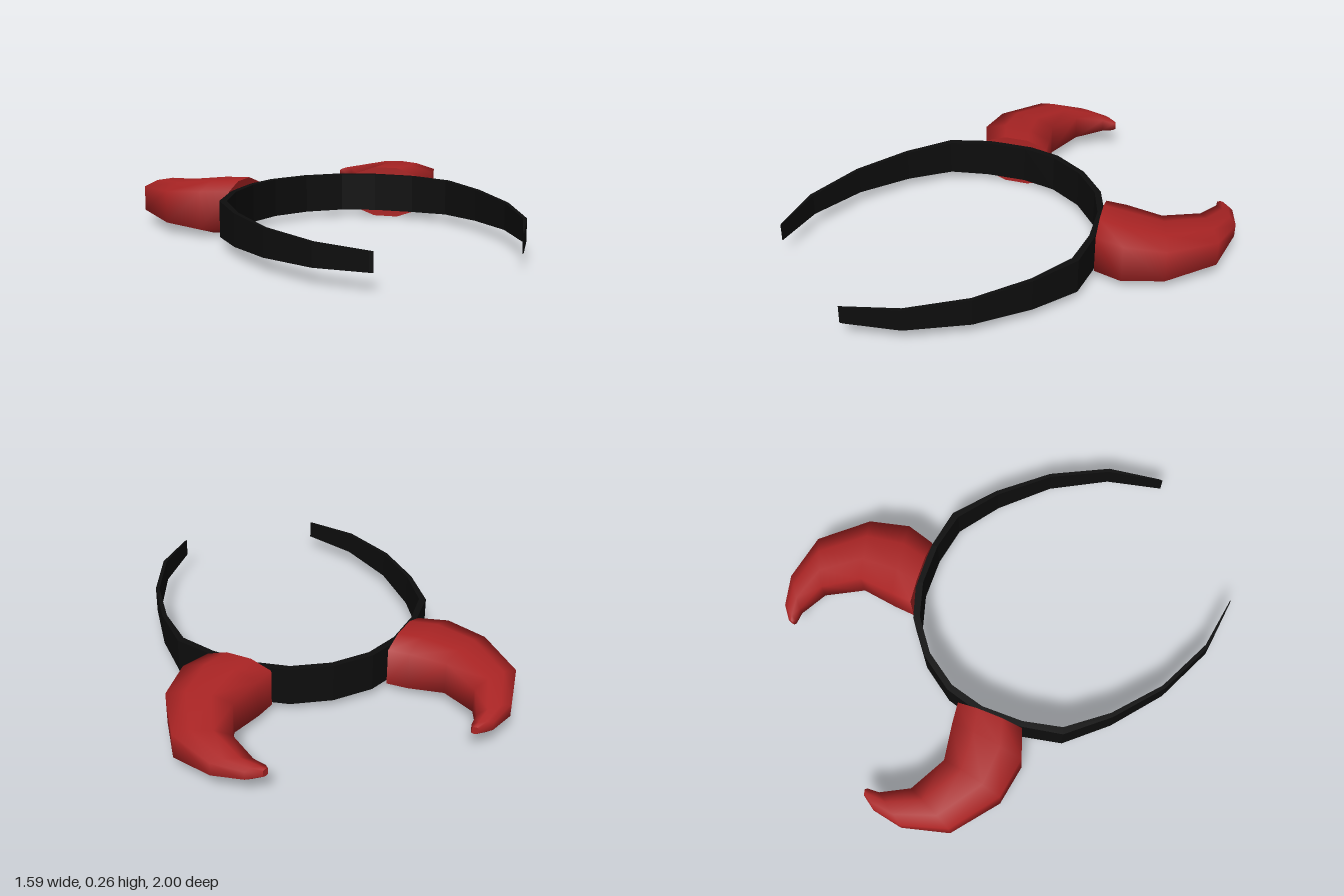
import * as THREE from 'three';

const MID_Y = 0.13;

// Skin a list of equal-sized rings of Vector3 and cap both ends.
function loft(rings, flip = false) {
  const n = rings[0].length, last = rings.length - 1;
  const points = rings.flat(), index = [];
  const tri = (a, b, c) => (flip ? index.push(a, c, b) : index.push(a, b, c));
  for (let s = 0; s < last; s++) {
    for (let i = 0; i < n; i++) {
      const a = s * n + i, b = s * n + (i + 1) % n;
      tri(a, a + n, b);
      tri(b, a + n, b + n);
    }
  }
  // Caps have their own vertices so their edges stay sharp
  for (const s of [0, last]) {
    const start = points.length;
    points.push(...rings[s]);
    for (let i = 1; i < n - 1; i++) {
      if (s === 0) tri(start, start + i, start + i + 1);
      else tri(start, start + i + 1, start + i);
    }
  }
  const geometry = new THREE.BufferGeometry().setFromPoints(points);
  geometry.setIndex(index);
  geometry.computeVertexNormals();
  return geometry;
}

// Ring spanning an inner and an outer point in plan, with a given half height.
function ring(profile, side, [ox, oz, ix, iz, half]) {
  return profile.map(([u, v]) => new THREE.Vector3(
    side * ((ox + ix) / 2 + u * (ox - ix) / 2),
    MID_Y + v * half,
    (oz + iz) / 2 + u * (oz - iz) / 2));
}

const RECTANGLE = [[1, -1], [1, 1], [-1, 1], [-1, -1]];
const ROUNDED = [[1, -0.72], [1, 0.72], [0.38, 1], [-0.38, 1],
  [-1, 0.72], [-1, -0.72], [-0.38, -1], [0.38, -1]];

// Sections: outer x, outer z, inner x, inner z, half height
const BAND = [
  [0.372, 0.985, 0.358, 0.997, 0.045],
  [0.53, 0.78, 0.515, 0.77, 0.054],
  [0.627, 0.49, 0.61, 0.485, 0.066],
  [0.65, 0.2, 0.628, 0.2, 0.078],
  [0.627, -0.05, 0.596, -0.035, 0.087],
  [0.51, -0.215, 0.49, -0.195, 0.094],
  [0.36, -0.365, 0.345, -0.335, 0.095],
  [0.2, -0.45, 0.19, -0.42, 0.095],
  [0, -0.48, 0, -0.45, 0.095],
];
const HORN = [
  [0.52, -0.21, 0.28, -0.43, 0.13],
  [0.65, -0.275, 0.36, -0.495, 0.13],
  [0.765, -0.44, 0.5, -0.6, 0.11],
  [0.795, -0.71, 0.552, -0.79, 0.085],
  [0.68, -0.905, 0.5, -0.93, 0.045],
  [0.555, -0.988, 0.458, -0.972, 0.028],
  [0.48, -1.0, 0.454, -0.986, 0.018],
];

export function createModel() {
  const model = new THREE.Group();
  model.name = 'hornedHeadband';
  const black = new THREE.MeshStandardMaterial({ color: 0x0d0d0d });
  black.name = 'black';
  const red = new THREE.MeshStandardMaterial({ color: 0xaa2424 });
  red.name = 'red';

  // Tapering faceted band, from the left end round to the right end
  const mirrored = BAND.slice(0, -1).reverse();
  const bandRings = [
    ...BAND.map((s) => ring(RECTANGLE, 1, s)),
    ...mirrored.map((s) => ring(RECTANGLE, -1, s)),
  ];
  const bandGeometry = loft(bandRings).toNonIndexed();
  bandGeometry.computeVertexNormals();
  const band = new THREE.Mesh(bandGeometry, black);
  band.name = 'band';
  model.add(band);

  // Pair of curved horns with smooth sides
  for (const side of [1, -1]) {
    const horn = new THREE.Mesh(loft(HORN.map((s) => ring(ROUNDED, side, s)), side < 0), red);
    horn.name = side > 0 ? 'leftHorn' : 'rightHorn';
    model.add(horn);
  }
  return model;
}
